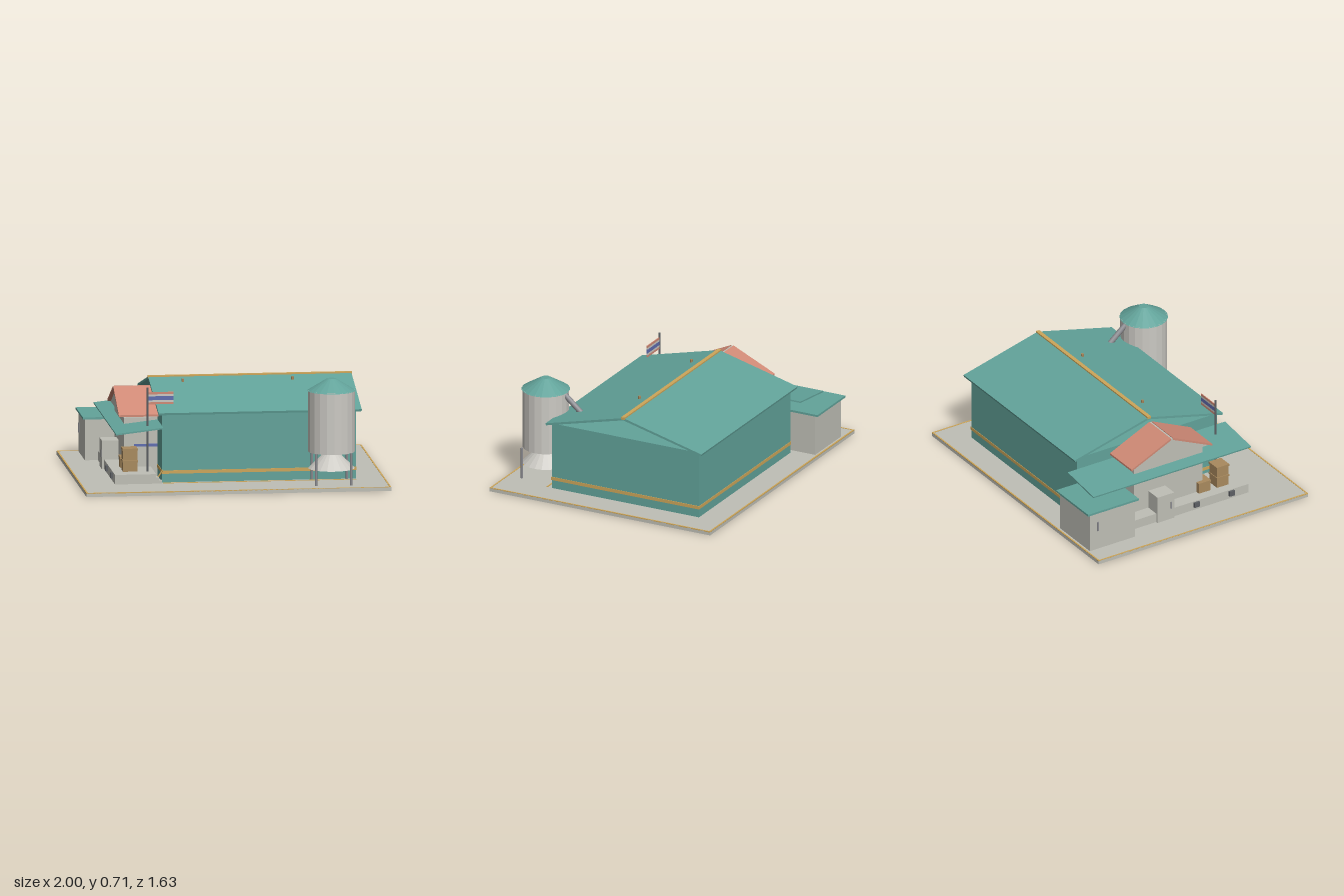
import * as THREE from 'three';

const mat = (name, color) => {
  const m = new THREE.MeshStandardMaterial({ color });
  m.name = name;
  return m;
};

export function createModel() {
  const teal = mat('teal metal', 0x62a39a);
  const concrete = mat('concrete', 0xbfbfb6);
  const metal = mat('silo metal', 0xcbc9c3);
  const salmon = mat('salmon tile', 0xd08a76);
  const gold = mat('gold trim', 0xcda65a);
  const wood = mat('crate wood', 0xa98a5e);
  const steel = mat('steel', 0x8b8b90);
  const blue = mat('blue paint', 0x5f6db0);
  const dark = mat('dark rubber', 0x5d6064);
  for (const m of [metal, teal]) m.flatShading = true;

  const model = new THREE.Group();
  const add = (name, geo, material, parent = model) => {
    const mesh = new THREE.Mesh(geo, material);
    mesh.name = name;
    parent.add(mesh);
    return mesh;
  };
  // Box given by its limits on each axis
  const box = (name, material, x0, x1, y0, y1, z0, z1, parent) => {
    const mesh = add(name, new THREE.BoxGeometry(x1 - x0, y1 - y0, z1 - z0), material, parent);
    mesh.position.set((x0 + x1) / 2, (y0 + y1) / 2, (z0 + z1) / 2);
    return mesh;
  };
  // Round bar between two points
  const bar = (name, material, a, b, r, sides = 8, parent) => {
    const p = new THREE.Vector3(...a), q = new THREE.Vector3(...b);
    const mesh = add(name, new THREE.CylinderGeometry(r, r, p.distanceTo(q), sides), material, parent);
    mesh.position.copy(p).lerp(q, 0.5);
    mesh.quaternion.setFromUnitVectors(new THREE.Vector3(0, 1, 0), q.sub(p).normalize());
    return mesh;
  };
  // Cross-section of [z, y] points drawn out along x
  const prism = (name, material, points, x0, x1) => {
    const shape = new THREE.Shape(points.map(([z, y]) => new THREE.Vector2(-z, y)));
    const geo = new THREE.ExtrudeGeometry(shape, { depth: x1 - x0, bevelEnabled: false });
    geo.rotateY(Math.PI / 2).translate(x0, 0, 0);
    return add(name, geo, material);
  };

  // Ground slab with painted border
  box('groundSlab', concrete, -1, 1, 0, 0.024, -0.813, 0.813);
  for (const s of [-1, 1]) {
    box('slabBorderLong', gold, -1, 1, 0.02, 0.026, s * 0.808 - 0.005, s * 0.808 + 0.005);
    box('slabBorderShort', gold, s * 0.995 - 0.005, s * 0.995 + 0.005, 0.02, 0.026, -0.813, 0.813);
  }
  box('groundLine', gold, -0.46, 0.81, 0.022, 0.027, 0.485, 0.495);

  // Warehouse hall, band and open-ended gable roof
  box('hallWalls', teal, -0.46, 0.81, 0.024, 0.478, -0.63, 0.455);
  box('hallBand', gold, -0.463, 0.814, 0.081, 0.103, -0.633, 0.458);
  prism('hallRoof', teal, [
    [0.48, 0.472], [0.483, 0.486], [-0.09, 0.632], [-0.667, 0.486], [-0.664, 0.472], [-0.09, 0.616],
  ], -0.487, 0.846);
  box('ridgeCap', gold, -0.49, 0.85, 0.621, 0.638, -0.103, -0.077);

  // Roof trusses whose posts come through the roof
  for (const x of [-0.27, 0.45]) {
    bar('trussPost', wood, [x, 0.57, 0], [x, 0.628, 0], 0.009);
    for (const z of [-0.14, 0.14]) bar('trussRafter', salmon, [x, 0.58, 0], [x, 0.478, z], 0.007, 6);
  }

  // Office block with tiled gable roof
  box('officeWalls', concrete, -0.68, -0.46, 0.024, 0.412, -0.33, 0.2);
  box('officeStripe', blue, -0.615, -0.46, 0.22, 0.237, 0.2, 0.206);
  prism('officeRoofFront', salmon, [[0.25, 0.425], [0.25, 0.438], [-0.055, 0.578], [-0.055, 0.563]], -0.72, -0.46);
  prism('officeRoofBack', salmon, [[-0.07, 0.563], [-0.07, 0.578], [-0.375, 0.438], [-0.375, 0.425]], -0.72, -0.46);
  box('officeRidge', concrete, -0.72, -0.46, 0.562, 0.574, -0.07, -0.055);
  const gable = new THREE.ShapeGeometry(new THREE.Shape([
    new THREE.Vector2(-0.36, 0.425), new THREE.Vector2(0.235, 0.425), new THREE.Vector2(-0.062, 0.565),
  ]));
  add('officeGable', gable.rotateY(-Math.PI / 2).translate(-0.7, 0, 0), concrete);

  // Sloping canopy over the dock
  const canopy = add('dockCanopy', new THREE.BoxGeometry(0.313, 0.01, 1.222), teal);
  canopy.position.set(-0.615, 0.374, -0.093);
  canopy.rotation.z = 0.115;

  // Back shed with flat roof and wall vent
  box('shedWalls', concrete, -0.86, -0.5, 0.024, 0.297, -0.79, -0.44);
  box('shedRoof', teal, -0.875, -0.49, 0.297, 0.311, -0.813, -0.42);
  box('shedHandle', steel, -0.869, -0.86, 0.16, 0.225, -0.735, -0.725);

  // Loading dock with bumpers, stair rail and cabinet
  box('dockPlatform', concrete, -0.775, -0.505, 0.024, 0.087, -0.42, 0.497);
  for (const z of [0.09, 0.362]) box('dockBumper', dark, -0.79, -0.775, 0.045, 0.08, z - 0.02, z + 0.02);
  for (let i = 0; i < 2; i++) {
    box('dockStep', concrete, -0.505, -0.485 + i * 0.02, 0.024, 0.066 - i * 0.022, 0.458, 0.497);
  }
  bar('stairRail', gold, [-0.505, 0.04, 0.478], [-0.46, 0.11, 0.478], 0.005);
  box('cabinet', concrete, -0.79, -0.68, 0.024, 0.213, -0.22, -0.09);
  box('cabinetHandle', steel, -0.795, -0.79, 0.1, 0.15, -0.118, -0.11);

  // Crates
  for (const [y, z] of [[0.087, 0.34], [0.164, 0.34], [0.087, 0.2]]) {
    box('crate', wood, -0.708, -0.615, y, y + 0.07, z - 0.045, z + 0.045);
    box('crateLid', wood, -0.711, -0.612, y + 0.062, y + 0.075, z - 0.048, z + 0.048);
  }

  // Flagpole and striped flag
  bar('flagPole', dark, [-0.548, 0.08, 0.385], [-0.548, 0.64, 0.385], 0.007);
  const stripes = [[salmon, 0.53, 0.544], [metal, 0.544, 0.557], [blue, 0.557, 0.583],
    [metal, 0.583, 0.596], [salmon, 0.596, 0.61]];
  for (const [m, y0, y1] of stripes) box('flagStripe', m, -0.545, -0.378, y0, y1, 0.382, 0.388);

  // Grain silo on legs
  const silo = new THREE.Group();
  silo.name = 'silo';
  silo.position.set(0.634, 0, 0.594);
  model.add(silo);
  const drum = (name, m, top, bottom, y0, y1) => {
    add(name, new THREE.CylinderGeometry(top, bottom, y1 - y0, 20), m, silo).position.y = (y0 + y1) / 2;
  };
  drum('siloBody', metal, 0.153, 0.153, 0.232, 0.638);
  drum('siloRoof', teal, 0.03, 0.159, 0.634, 0.713);
  drum('siloHopper', metal, 0.035, 0.153, 0.122, 0.235);
  for (const x of [-0.115, 0.115]) {
    for (const z of [-0.115, 0.115]) bar('siloLeg', steel, [x, 0.022, z], [x, 0.235, z], 0.008, 8, silo);
  }
  bar('feedChute', steel, [0.634, 0.615, 0.45], [0.634, 0.49, 0.305], 0.018, 10);

  return model;
}
